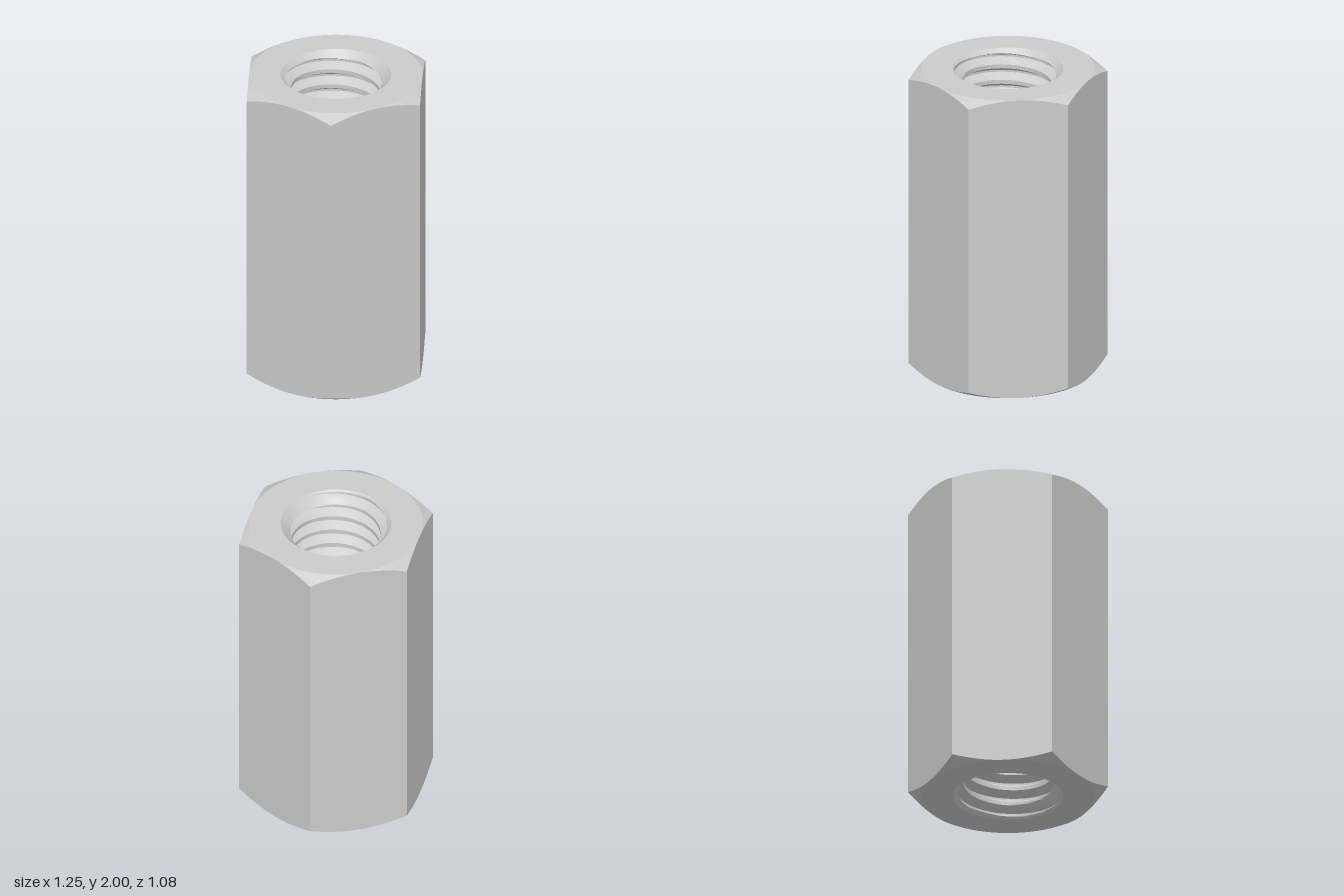
import * as THREE from 'three';
import { toCreasedNormals } from 'three/addons/utils/BufferGeometryUtils.js';

const HEIGHT = 2;
const APOTHEM = 0.541;        // half the width across flats
const MINOR = 0.277;          // thread crest radius
const MAJOR = 0.333;          // thread root radius
const MOUTH = 0.345;          // countersink radius at the end faces
const PITCH = 1.25 / 12;
const SEGMENTS = 120;         // a multiple of 6, so the hexagon corners are exact

// Skins rows of rings; pointAt(row, angle) returns [radius, y]. Angles run counterclockwise from above.
function loft(rows, pointAt) {
  const rings = rows.map((row) => Array.from({ length: SEGMENTS + 1 }, (_, k) => {
    const t = (k / SEGMENTS) * Math.PI * 2;
    const [r, y] = pointAt(row, t);
    return new THREE.Vector3(r * Math.cos(t), y, -r * Math.sin(t));
  }));
  const positions = [];
  const triangle = new THREE.Triangle();
  const add = (a, b, c) => {
    if (triangle.set(a, b, c).getArea() < 1e-9) return; // skip collapsed faces
    for (const p of [a, b, c]) positions.push(p.x, p.y, p.z);
  };
  for (let j = 0; j < rings.length - 1; j++) {
    for (let k = 0; k < SEGMENTS; k++) {
      const a = rings[j][k], b = rings[j][k + 1];
      const c = rings[j + 1][k], d = rings[j + 1][k + 1];
      add(a, c, b);
      add(b, c, d);
    }
  }
  const geometry = new THREE.BufferGeometry();
  geometry.setAttribute('position', new THREE.Float32BufferAttribute(positions, 3));
  return toCreasedNormals(geometry, 0.4);
}

// Hexagonal prism whose corners are cut by a 30 degree cone at both ends
function hexBodyGeometry() {
  const sector = Math.PI / 3;
  return loft([0, 1, 2, 3, 4, 5], (row, t) => {
    const hexR = APOTHEM / Math.cos((t % sector) - sector / 2);
    const drop = (hexR - APOTHEM) * Math.tan(Math.PI / 6);
    return [
      [MOUTH, HEIGHT], [APOTHEM, HEIGHT], [hexR, HEIGHT - drop],
      [hexR, drop], [APOTHEM, 0], [MOUTH, 0],
    ][row];
  });
}

// Right-handed helical thread, opened by a 45 degree countersink at both ends
function threadGeometry() {
  const STEPS = 16;            // rows per turn of the thread
  const start = 1.95;
  const phase = (i) => ((i % STEPS) + STEPS) % STEPS;
  const profile = (i) => {
    const f = phase(i);
    if (f <= 4) return MINOR;
    const depth = f < 9 ? (f - 4) / 5 : f <= 11 ? 1 : (16 - f) / 5;
    return MINOR + (MAJOR - MINOR) * depth;
  };
  // Fine rows near the ends, only the profile corners in between
  const rows = [];
  for (let i = -20 * STEPS; i <= STEPS / 2; i++) {
    const nearEnd = i < -17 * STEPS || i > -2 * STEPS;
    if (nearEnd || [0, 4, 9, 11].includes(phase(i))) rows.push(i);
  }
  return loft(rows, (i, t) => {
    const y = THREE.MathUtils.clamp(start + PITCH * (i / STEPS + t / (Math.PI * 2)), 0, HEIGHT);
    const countersink = MOUTH - Math.min(y, HEIGHT - y);
    const atEnd = y === 0 || y === HEIGHT;
    return [atEnd ? MOUTH : Math.max(profile(i), countersink), y];
  });
}

export function createModel() {
  const group = new THREE.Group();
  group.name = 'hexCouplingNut';
  const material = new THREE.MeshStandardMaterial({ color: 0xcccccc });
  const parts = { hexBody: hexBodyGeometry(), threadedBore: threadGeometry() };
  for (const [name, geometry] of Object.entries(parts)) {
    const mesh = new THREE.Mesh(geometry, material);
    mesh.name = name;
    group.add(mesh);
  }
  return group;
}
